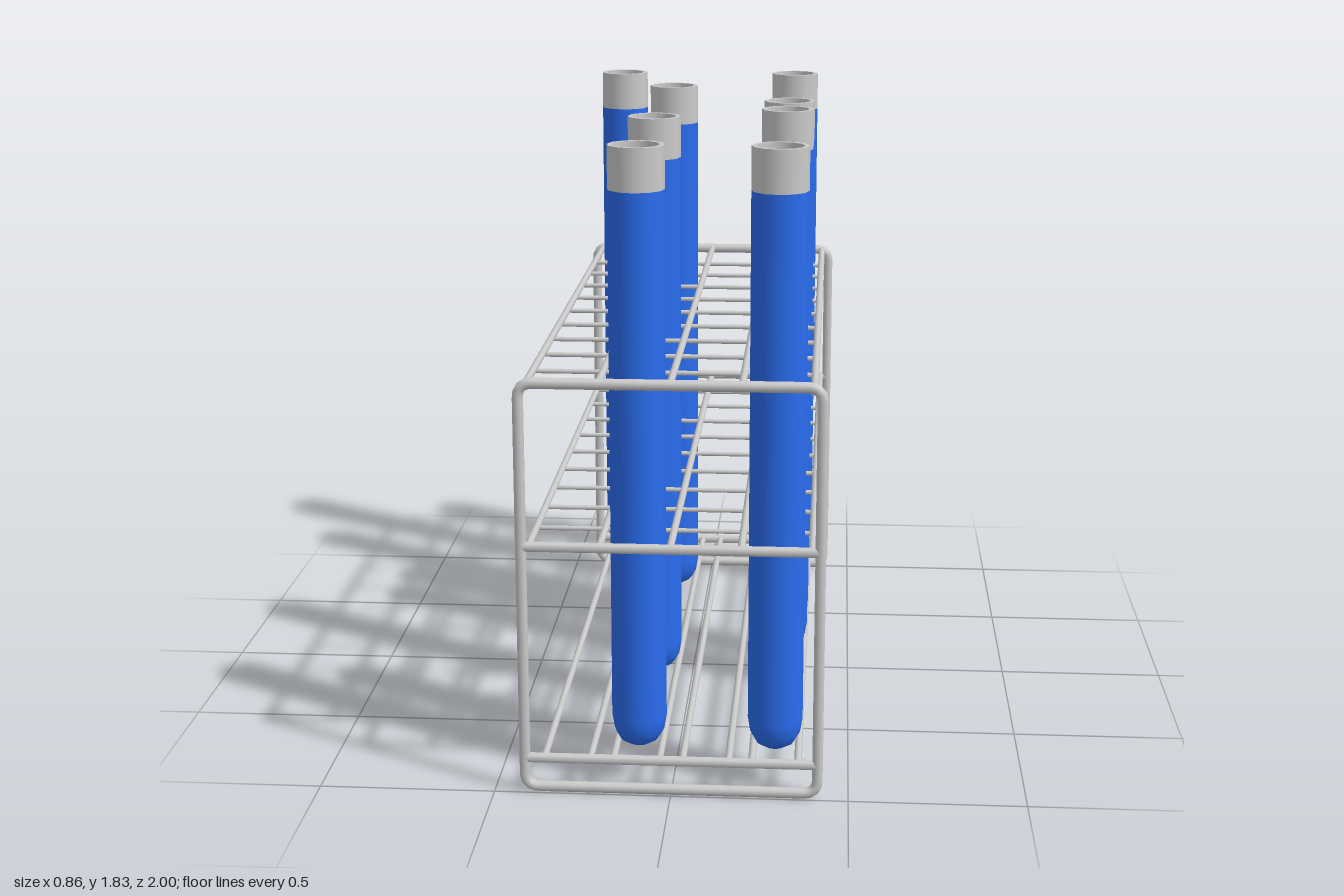
import * as THREE from 'three';

const metal = new THREE.MeshStandardMaterial({ color: 0xcccccc });
const blue = new THREE.MeshStandardMaterial({ color: 0x2a6df0 });

const END_Z = 0.985;
const CELL = 0.195;

function add(parent, name, geometry, material, x = 0, y = 0, z = 0) {
  const mesh = new THREE.Mesh(geometry, material);
  mesh.name = name;
  mesh.position.set(x, y, z);
  parent.add(mesh);
  return mesh;
}

// Straight wire along x or z
function wire(parent, name, axis, length, radius, x, y, z) {
  const geometry = new THREE.CylinderGeometry(radius, radius, length, 8);
  if (axis === 'x') geometry.rotateZ(Math.PI / 2);
  else geometry.rotateX(Math.PI / 2);
  return add(parent, name, geometry, metal, x, y, z);
}

// Closed rounded-rectangle loop of bent rod
function frameGeometry(halfWidth, bottom, top, corner, radius) {
  const path = new THREE.CurvePath();
  const v = (x, y) => new THREE.Vector3(x, y, 0);
  const corners = [v(halfWidth, bottom), v(halfWidth, top), v(-halfWidth, top), v(-halfWidth, bottom)];
  const toward = (a, b) => a.clone().add(b.clone().sub(a).setLength(corner));
  corners.forEach((c, i) => {
    const previous = corners[(i + 3) % 4];
    const next = corners[(i + 1) % 4];
    const after = corners[(i + 2) % 4];
    path.add(new THREE.QuadraticBezierCurve3(toward(c, previous), c, toward(c, next)));
    path.add(new THREE.LineCurve3(toward(c, next), toward(next, c)));
  });
  return new THREE.TubeGeometry(path, 240, radius, 10, true);
}

function lathe(points) {
  return new THREE.LatheGeometry(points.map(([r, y]) => new THREE.Vector2(r, y)), 12);
}

function makeTestTube(x, z) {
  const tube = new THREE.Group();
  tube.name = 'testTube';
  tube.position.set(x, 0, z);
  // Filled body with a rounded bottom
  add(tube, 'tubeBody', lathe([
    [0, 0.112], [0.03, 0.115], [0.055, 0.13], [0.071, 0.158], [0.078, 0.2], [0.078, 1.71],
  ]), blue);
  // Open collar: outer wall, rim, inner wall and floor
  add(tube, 'collarWall', lathe([[0.078, 1.71], [0.078, 1.83]]), metal);
  add(tube, 'collarRim', lathe([[0.078, 1.83], [0.065, 1.83]]), metal);
  add(tube, 'collarInside', lathe([[0.065, 1.83], [0.065, 1.71]]), metal);
  add(tube, 'collarFloor', lathe([[0.065, 1.712], [0, 1.712]]), metal);
  return tube;
}

export function createModel() {
  const model = new THREE.Group();
  model.name = 'testTubeRack';

  // End frames with their crossbars
  const frame = frameGeometry(0.413, 0.017, 1.195, 0.04, 0.0155);
  for (const side of [-1, 1]) {
    const end = new THREE.Group();
    end.name = side > 0 ? 'frontEnd' : 'backEnd';
    end.position.z = side * END_Z;
    add(end, 'endFrame', frame, metal);
    for (const y of [0.73, 0.103]) wire(end, 'crossbar', 'x', 0.826, 0.015, 0, y, 0);
    model.add(end);
  }

  // Two wire grids: long wires above thin cross wires
  for (const y of [1.195, 0.735]) {
    const grid = new THREE.Group();
    grid.name = 'wireGrid';
    for (let i = -2; i <= 2; i++) wire(grid, 'longWire', 'z', 2 * END_Z, 0.0105, i * CELL, y, 0);
    for (let i = -4; i <= 4; i++) wire(grid, 'crossWire', 'x', 0.8, 0.007, 0, y - 0.017, i * CELL);
    model.add(grid);
  }

  // Bottom shelf: a pair of rails under each row of tubes
  const shelf = new THREE.Group();
  shelf.name = 'bottomShelf';
  for (let row = 0; row < 4; row++) {
    for (const side of [-1, 1]) {
      wire(shelf, 'shelfRail', 'z', 2 * END_Z, 0.0105, (row - 1.5) * CELL + side * 0.065, 0.105, 0);
    }
  }
  model.add(shelf);

  // Test tubes standing in some of the cells
  const spots = [
    [-0.297, -0.877], [0.29, -0.877], [-0.097, -0.488], [0.29, -0.1],
    [0.29, 0.105], [-0.097, 0.295], [-0.097, 0.88], [0.29, 0.88],
  ];
  for (const [x, z] of spots) model.add(makeTestTube(x, z));

  return model;
}
